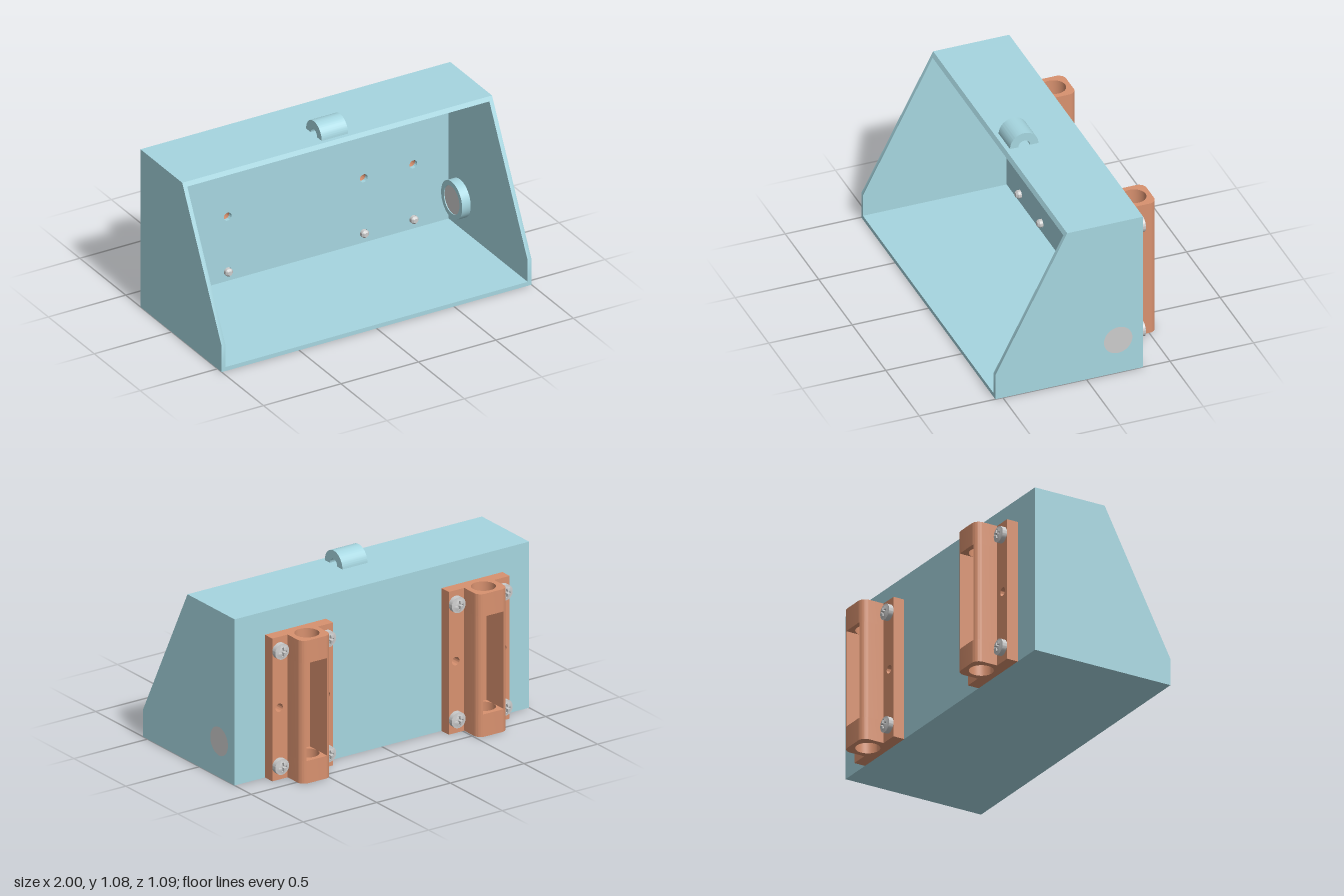
import * as THREE from 'three';
import { toCreasedNormals } from 'three/addons/utils/BufferGeometryUtils.js';

const BLUE = new THREE.MeshStandardMaterial({ color: 0xa6d6e0 });
const COPPER = new THREE.MeshStandardMaterial({ color: 0xd8916f });
const GREY = new THREE.MeshStandardMaterial({ color: 0xcccccc });

const HEIGHT = 0.995, WALL = 0.025, BACK = -0.34, FRONT = 0.545;
const BRACKETS = [-0.612, 0.587];
const SCREW_OFFSET = 0.16, SCREW_ROWS = [0.085, 0.775], HOLE_ROW = 0.43, HOLE_R = 0.025;
const BUTTON = { y: 0.215, z: -0.19, r: 0.085 };

function add(parent, name, geometry, material) {
  const mesh = new THREE.Mesh(toCreasedNormals(geometry, 0.6), material);
  mesh.name = name;
  parent.add(mesh);
  return mesh;
}

const polygon = (points) => new THREE.Shape(points.map(([x, y]) => new THREE.Vector2(x, y)));
const circle = (x, y, r) => new THREE.Path().absarc(x, y, r, 0, Math.PI * 2, true);
const disc = (x, y, r) => new THREE.Shape().absarc(x, y, r, 0, Math.PI * 2, false);
const extrude = (shape, depth) =>
  new THREE.ExtrudeGeometry(shape, { depth, bevelEnabled: false, curveSegments: 24 });

// Shape drawn in (-z, y), extruded from x0 to x1
const alongX = (shape, x0, x1) => extrude(shape, x1 - x0).rotateY(Math.PI / 2).translate(x0, 0, 0);
// Shape drawn in (x, -z), extruded from y0 to y1
const alongY = (shape, y0, y1) => extrude(shape, y1 - y0).rotateX(-Math.PI / 2).translate(0, y0, 0);

function createHousing() {
  const housing = new THREE.Group();
  housing.name = 'housing';
  const inner = 1 - WALL;

  // Side walls with a sloping front edge
  const sideShape = () => polygon([[-FRONT, 0], [-BACK, 0], [-BACK, HEIGHT], [-0.115, HEIGHT], [-FRONT, 0.16]]);
  const buttonSide = sideShape();
  buttonSide.holes.push(circle(-BUTTON.z, BUTTON.y, BUTTON.r));
  add(housing, 'leftWall', alongX(buttonSide, inner, 1), BLUE);
  add(housing, 'rightWall', alongX(sideShape(), -1, -inner), BLUE);

  // Floor and roof
  add(housing, 'floor', alongX(
    polygon([[-FRONT, 0], [-BACK, 0], [-BACK, WALL], [-FRONT, WALL]]), -inner, inner), BLUE);
  add(housing, 'roof', alongX(
    polygon([[-0.128, HEIGHT - WALL], [-BACK, HEIGHT - WALL], [-BACK, HEIGHT], [-0.115, HEIGHT]]), -inner, inner), BLUE);

  // Back wall with mounting holes
  const back = polygon([[-inner, WALL], [inner, WALL], [inner, HEIGHT - WALL], [-inner, HEIGHT - WALL]]);
  for (const x of BRACKETS)
    for (const side of [-1, 1])
      for (const y of [...SCREW_ROWS, HOLE_ROW])
        back.holes.push(circle(x + side * SCREW_OFFSET, y, HOLE_R));
  add(housing, 'backWall', extrude(back, WALL).translate(0, 0, BACK), BLUE);

  // Half-ring hanging loop
  const loop = new THREE.Shape();
  loop.absarc(-0.005, HEIGHT, 0.085, 0, Math.PI, false);
  loop.absarc(-0.005, HEIGHT, 0.035, Math.PI, 0, true);
  add(housing, 'hangingLoop', alongX(loop, -0.085, 0.085), BLUE);

  // Collar and round plug in the left wall
  const collar = disc(-BUTTON.z, BUTTON.y, 0.115);
  collar.holes.push(circle(-BUTTON.z, BUTTON.y, BUTTON.r));
  add(housing, 'plugCollar', alongX(collar, 0.92, inner), BLUE);
  add(housing, 'plug', alongX(disc(-BUTTON.z, BUTTON.y, BUTTON.r), 0.925, 1), GREY);
  return housing;
}

function createScrew() {
  const screw = new THREE.Group();
  screw.name = 'screw';
  // Domed head with a cross recess, pointing along +z
  const a = 0.006, b = 0.027, R = 0.047;
  const shape = disc(0, 0, R);
  shape.holes.push(polygon([[a, a], [a, b], [-a, b], [-a, a], [-b, a], [-b, -a],
    [-a, -a], [-a, -b], [a, -b], [a, -a], [b, -a], [b, a]]));
  const head = extrude(shape, 0.042);
  const p = head.attributes.position;
  for (let i = 0; i < p.count; i++) {
    const r = Math.hypot(p.getX(i), p.getY(i)) / R;
    if (p.getZ(i) > 0.02) p.setZ(i, 0.042 - 0.013 * r * r);
  }
  add(screw, 'screwHead', head, GREY);
  // Shank with chamfered tip; its wide end is the floor of the recess
  const profile = [[0, -0.125], [0.014, -0.125], [0.024, -0.113], [0.024, 0], [0.035, 0], [0.035, 0.018], [0, 0.018]];
  const shank = new THREE.LatheGeometry(profile.map(([x, y]) => new THREE.Vector2(x, y)), 24);
  add(screw, 'screwShank', shank.rotateX(Math.PI / 2), GREY);
  screw.rotation.y = Math.PI;
  return screw;
}

function createBracket() {
  const bracket = new THREE.Group();
  bracket.name = 'bracket';
  const top = 0.855, w = 0.102, half = 0.207, plate = 0.41, rear = 0.548, r = 0.045;

  // Rounded column outline, leaving the rear open where a slot is given
  const outline = () => {
    const s = new THREE.Shape();
    s.moveTo(-w, -BACK);
    s.lineTo(w, -BACK);
    s.lineTo(w, rear - r);
    s.absarc(w - r, rear - r, r, 0, Math.PI / 2, false);
    s.absarc(-w + r, rear - r, r, Math.PI / 2, Math.PI, false);
    return s;
  };
  // Bored ends
  for (const [y0, y1] of [[0, 0.135], [0.72, top]]) {
    const end = outline();
    end.holes.push(circle(0, 0.45, 0.07));
    add(bracket, 'columnEnd', alongY(end, y0, y1), COPPER);
  }
  // Slotted middle, open to the rear
  const slot = 0.07, floor = 0.38;
  const edge = rear - r + Math.sqrt(r * r - (slot - w + r) ** 2);
  const angle = Math.acos((slot - w + r) / r);
  const mid = new THREE.Shape();
  mid.moveTo(-w, -BACK);
  mid.lineTo(w, -BACK);
  mid.lineTo(w, rear - r);
  mid.absarc(w - r, rear - r, r, 0, angle, false);
  mid.lineTo(slot, floor);
  mid.lineTo(-slot, floor);
  mid.lineTo(-slot, edge);
  mid.absarc(-w + r, rear - r, r, Math.PI - angle, Math.PI, false);
  add(bracket, 'columnMiddle', alongY(mid, 0.135, 0.72), COPPER);

  // Flanges with a spare hole, each held by two screws
  for (const side of [-1, 1]) {
    const [x0, x1] = side < 0 ? [-half, -w] : [w, half];
    const flange = polygon([[x0, 0], [x1, 0], [x1, top], [x0, top]]);
    for (const y of [...SCREW_ROWS, HOLE_ROW]) flange.holes.push(circle(side * SCREW_OFFSET, y, HOLE_R));
    add(bracket, 'flange', extrude(flange, plate + BACK).translate(0, 0, -plate), COPPER);
    for (const y of SCREW_ROWS) {
      const screw = createScrew();
      screw.position.set(side * SCREW_OFFSET, y, -plate);
      bracket.add(screw);
    }
  }
  return bracket;
}

export function createModel() {
  const model = new THREE.Group();
  model.name = 'mountedHousing';
  model.add(createHousing());
  for (const x of BRACKETS) {
    const bracket = createBracket();
    bracket.position.x = x;
    model.add(bracket);
  }
  return model;
}
